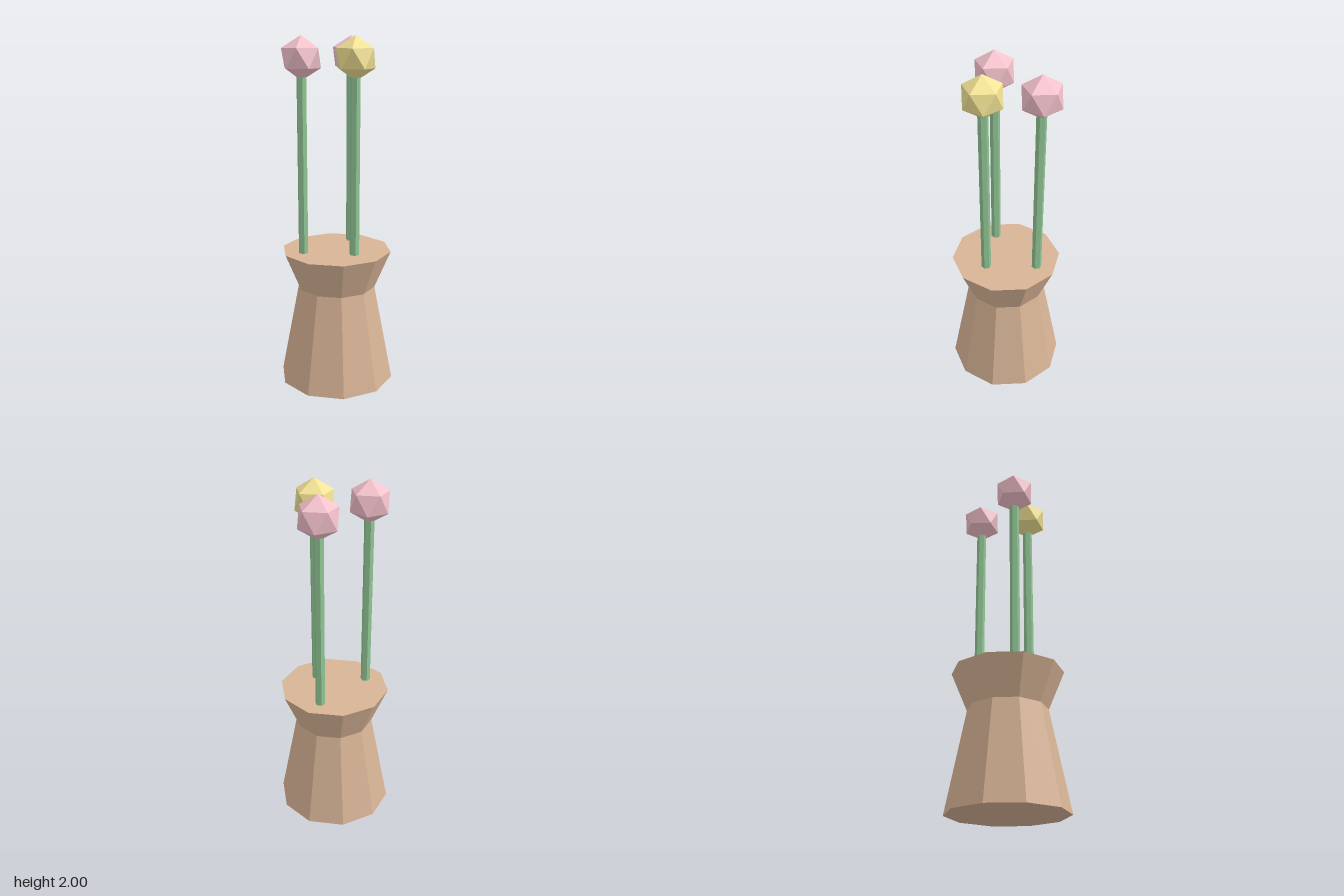
import * as THREE from 'three';

const paint = (color) => new THREE.MeshStandardMaterial({ color, flatShading: true });

export function createModel() {
  const model = new THREE.Group();
  model.name = 'vaseWithFlowers';

  // Ten-sided vase: closed base, tapered body, flared neck, flat top
  const profile = [[0, 0], [0.337, 0], [0.226, 0.57], [0.318, 0.79], [0, 0.79]]
    .map(([r, y]) => new THREE.Vector2(r, y));
  const vase = new THREE.Mesh(new THREE.LatheGeometry(profile, 10), paint(0xd8b496));
  vase.name = 'vase';
  model.add(vase);

  // Six-sided stem, corners towards +x and -x
  const stemBottom = 0.78, headY = 1.881;
  const stemGeometry = new THREE.CylinderGeometry(0.028, 0.028, headY - stemBottom, 6);
  stemGeometry.rotateY(Math.PI / 2);
  const stemMaterial = paint(0x8fc493);

  // Icosahedron head standing on a corner, upper ring starting at +x
  const headGeometry = new THREE.IcosahedronGeometry(0.119, 0);
  headGeometry.rotateX(-Math.atan((1 + Math.sqrt(5)) / 2));
  headGeometry.rotateY(Math.PI / 2);
  const pink = paint(0xf4c2cc), yellow = paint(0xf2e294);

  const flowers = [
    ['leftFlower', 0.188, -0.076, pink],
    ['rightFlower', -0.188, -0.076, pink],
    ['frontFlower', 0, 0.149, yellow],
  ];
  for (const [name, x, z, material] of flowers) {
    const flower = new THREE.Group();
    flower.name = name;
    flower.position.set(x, 0, z);
    const stem = new THREE.Mesh(stemGeometry, stemMaterial);
    stem.name = 'stem';
    stem.position.y = (stemBottom + headY) / 2;
    const head = new THREE.Mesh(headGeometry, material);
    head.name = 'flowerHead';
    head.position.y = headY;
    flower.add(stem, head);
    model.add(flower);
  }
  return model;
}
